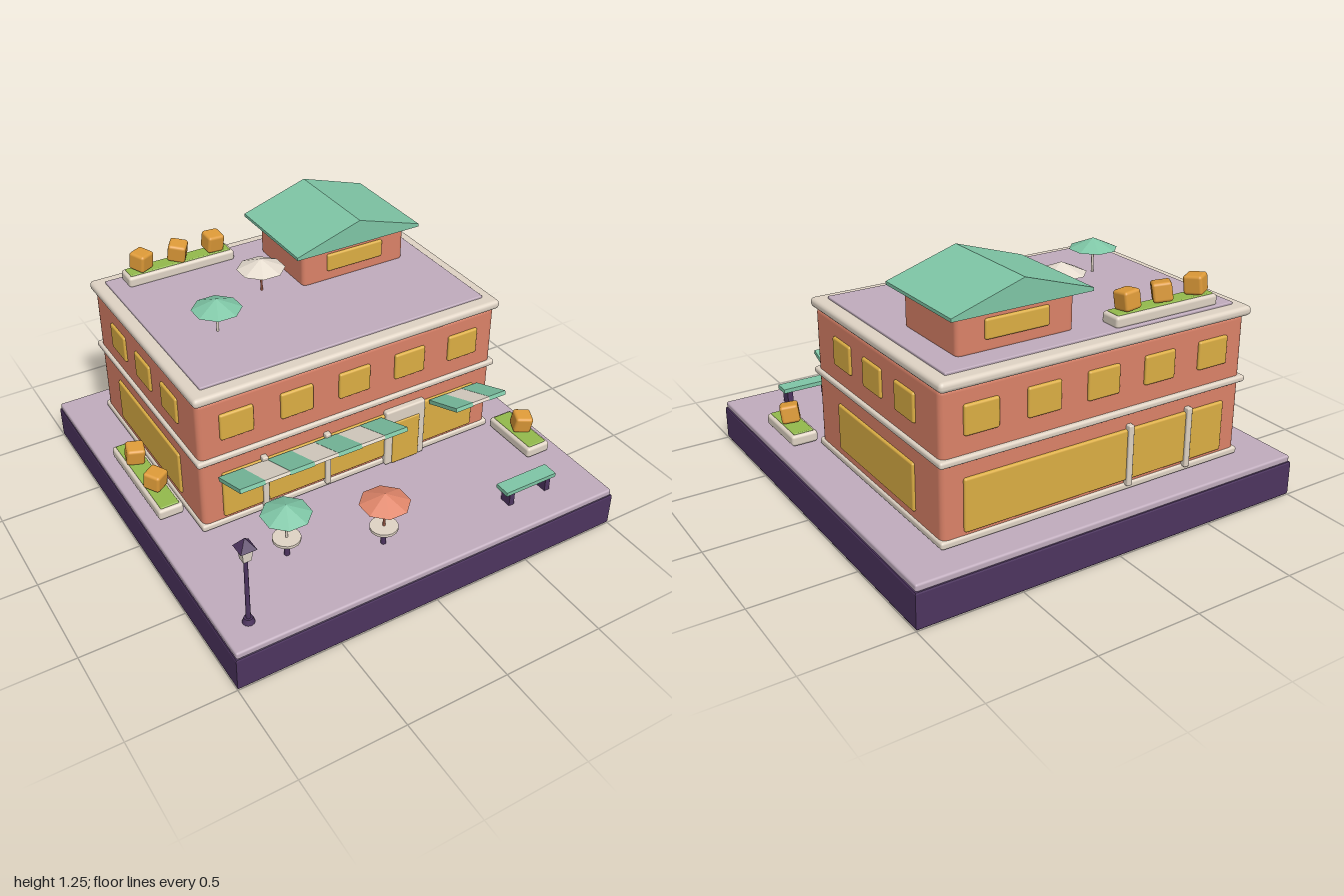
import * as THREE from 'three';
import { RoundedBoxGeometry } from 'three/addons/geometries/RoundedBoxGeometry.js';

const mat = (color, flatShading = false) => new THREE.MeshStandardMaterial({ color, flatShading });
const WALL = mat(0xdb8268), CREAM = mat(0xdfd3c4), GOLD = mat(0xdcae44), PURPLE = mat(0x4d345f);
const MAUVE = mat(0xc0acbd), GREEN = mat(0x7fc6a6, true), LEAF = mat(0x93ba4c), ORANGE = mat(0xdd9a38);
const CORAL = mat(0xe0866a, true), IVORY = mat(0xe6dccf, true), IRON = mat(0x4d345f, true);

function add(parent, name, geometry, material, x = 0, y = 0, z = 0) {
  const mesh = new THREE.Mesh(geometry, material);
  mesh.name = name;
  mesh.position.set(x, y, z);
  parent.add(mesh);
  return mesh;
}

// Box given by its min and max on each axis, with softened edges
function box(parent, name, material, [x0, x1], [y0, y1], [z0, z1], r = 0.01) {
  const w = x1 - x0, h = y1 - y0, d = z1 - z0;
  const geometry = r ? new RoundedBoxGeometry(w, h, d, 2, Math.min(r, w * 0.45, h * 0.45, d * 0.45)) : new THREE.BoxGeometry(w, h, d);
  return add(parent, name, geometry, material, (x0 + x1) / 2, (y0 + y1) / 2, (z0 + z1) / 2);
}

function group(parent, name, x = 0, y = 0, z = 0) {
  const g = new THREE.Group();
  g.name = name;
  g.position.set(x, y, z);
  parent.add(g);
  return g;
}

function square(PathType, s) {
  return new PathType([[-s, -s], [s, -s], [s, s], [-s, s]].map(([x, y]) => new THREE.Vector2(x, y)));
}

// Hollow plinth, open underneath, with a paved top
function buildBase(root) {
  const g = group(root, 'base');
  const rim = square(THREE.Shape, 0.99);
  rim.holes.push(square(THREE.Path, 0.985));
  const geometry = new THREE.ExtrudeGeometry(rim, { depth: 0.155, bevelSize: 0.01, bevelThickness: 0.01, bevelSegments: 2 });
  geometry.rotateX(-Math.PI / 2);
  add(g, 'plinthWalls', geometry, PURPLE, 0, 0.01, 0);
  box(g, 'paving', MAUVE, [-0.995, 0.995], [0.17, 0.205], [-0.995, 0.995], 0.01);
}

function buildBuilding(root) {
  const g = group(root, 'building');
  box(g, 'walls', WALL, [-0.785, 0.785], [0.2, 0.91], [-0.84, 0.28], 0.03);
  box(g, 'footTrim', CREAM, [-0.795, 0.795], [0.21, 0.245], [-0.85, 0.29], 0.012);
  box(g, 'floorTrim', CREAM, [-0.8, 0.8], [0.577, 0.608], [-0.86, 0.295], 0.012);
  box(g, 'cornice', CREAM, [-0.8, 0.8], [0.9, 0.946], [-0.87, 0.3], 0.02);
  box(g, 'roofDeck', MAUVE, [-0.74, 0.74], [0.92, 0.957], [-0.805, 0.235], 0.005);

  // Windows run on opposite walls, front with back and left with right
  for (const [z0, z1] of [[0.27, 0.294], [-0.854, -0.83]]) {
    for (let i = -2; i <= 2; i++) box(g, 'upperWindow', GOLD, [i * 0.3 - 0.082, i * 0.3 + 0.082], [0.69, 0.825], [z0, z1], 0.01);
    box(g, 'shopWindow', GOLD, [-0.685, 0.685], [0.26, 0.505], [z0, z1], 0.01);
    for (const x of [-0.475, -0.147]) box(g, 'windowPost', CREAM, [x - 0.014, x + 0.014], [0.235, 0.527], [z0 - 0.013, z1 + 0.013], 0.006);
  }
  for (const [x0, x1] of [[-0.797, -0.775], [0.775, 0.797]]) {
    for (const z of [0.003, -0.28, -0.563]) box(g, 'sideWindow', GOLD, [x0, x1], [0.69, 0.825], [z - 0.082, z + 0.082], 0.01);
    box(g, 'sideShopWindow', GOLD, [x0, x1], [0.28, 0.505], [-0.625, 0.065], 0.01);
  }

  box(g, 'doorFrame', CREAM, [0.168, 0.39], [0.215, 0.527], [0.26, 0.31], 0.01);
  box(g, 'door', GOLD, [0.204, 0.354], [0.22, 0.46], [0.28, 0.317], 0.006);
}

// Striped awning tilted upwards toward the street
function buildAwning(root, x0, x1, stripes) {
  const g = group(root, 'awning', 0, 0.54, 0.408);
  g.rotation.x = -0.37;
  const w = (x1 - x0) / stripes;
  for (let i = 0; i < stripes; i++) {
    const even = i % 2 === 0;
    box(g, 'awningStripe', even ? GREEN : IVORY, [x0 + i * w, x0 + (i + 1) * w], even ? [-0.01, 0.01] : [-0.007, 0.009], [-0.113, 0.113], 0);
  }
}

// Small pavilion with a gabled roof
function buildPavilion(root) {
  const g = group(root, 'pavilion');
  box(g, 'pavilionWalls', WALL, [0.055, 0.625], [0.94, 1.14], [-0.7, -0.27], 0.025);
  for (const z of [-0.27, -0.7]) box(g, 'pavilionWindow', GOLD, [0.185, 0.495], [1.005, 1.095], [z - 0.012, z + 0.012], 0.01);
  const gable = new THREE.Shape([[-0.34, 0], [0.34, 0], [0.34, 0.015], [0, 0.122], [-0.34, 0.015]].map(([x, y]) => new THREE.Vector2(x, y)));
  add(g, 'gableRoof', new THREE.ExtrudeGeometry(gable, { depth: 0.53, bevelEnabled: false }), GREEN, 0.34, 1.133, -0.755);
}

function buildParasol(root, x, y, z, height, color, poleColor, table) {
  const g = group(root, 'parasol', x, y, z);
  add(g, 'canopy', new THREE.ConeGeometry(0.116, 0.05, 8).rotateY(Math.PI / 8), color, 0, height - 0.025, 0);
  add(g, 'pole', new THREE.CylinderGeometry(0.006, 0.006, height - 0.03, 8), poleColor, 0, (height - 0.03) / 2, 0);
  if (!table) return;
  add(g, 'tableTop', new THREE.CylinderGeometry(0.065, 0.065, 0.014, 16), CREAM, 0, 0.1, 0);
  add(g, 'tableLeg', new THREE.CylinderGeometry(0.013, 0.013, 0.1, 10), PURPLE, 0, 0.05, 0);
}

// Trough of greenery holding tumbled cube shrubs
function buildPlanter(root, xs, y, zs, shrubs) {
  const g = group(root, 'planter');
  box(g, 'trough', CREAM, xs, [y, y + 0.055], zs, 0.015);
  box(g, 'greenery', LEAF, [xs[0] + 0.016, xs[1] - 0.016], [y + 0.03, y + 0.061], [zs[0] + 0.016, zs[1] - 0.016], 0.005);
  for (const [x, z, turn] of shrubs) {
    const shrub = add(g, 'shrub', new RoundedBoxGeometry(0.088, 0.088, 0.088, 2, 0.014), ORANGE, x, y + 0.107, z);
    shrub.rotation.set(0.12, turn, -0.08);
  }
}

function buildBench(root) {
  const g = group(root, 'bench');
  box(g, 'benchSeat', GREEN, [0.48, 0.765], [0.277, 0.298], [0.77, 0.848], 0);
  for (const x of [0.52, 0.73]) box(g, 'benchLeg', IRON, [x - 0.014, x + 0.014], [0.2, 0.28], [0.78, 0.84], 0);
}

function buildLamp(root) {
  const g = group(root, 'streetLamp', -0.868, 0.2, 0.86);
  add(g, 'lampFoot', new THREE.CylinderGeometry(0.02, 0.03, 0.03, 12), PURPLE, 0, 0.015, 0);
  add(g, 'lampPost', new THREE.CylinderGeometry(0.009, 0.011, 0.36, 10), PURPLE, 0, 0.18, 0);
  add(g, 'lantern', new THREE.CylinderGeometry(0.035, 0.026, 0.065, 4).rotateY(Math.PI / 4), IVORY, 0, 0.387, 0);
  add(g, 'lampCap', new THREE.ConeGeometry(0.052, 0.05, 4).rotateY(Math.PI / 4), IRON, 0, 0.443, 0);
}

export function createModel() {
  const root = new THREE.Group();
  root.name = 'cornerCafe';
  buildBase(root);
  buildBuilding(root);
  buildAwning(root, -0.71, 0.143, 7);
  buildAwning(root, 0.415, 0.7, 3);
  buildPavilion(root);

  buildParasol(root, -0.535, 0.2, 0.592, 0.29, GREEN, CREAM, true);
  buildParasol(root, -0.13, 0.2, 0.748, 0.29, CORAL, CORAL, true);
  buildParasol(root, -0.472, 0.95, -0.128, 0.175, GREEN, CREAM, false);
  buildParasol(root, -0.13, 0.95, -0.347, 0.175, IVORY, CORAL, false);

  buildPlanter(root, [-0.66, -0.1], 0.95, [-0.792, -0.683], [[-0.57, -0.74, 0.5], [-0.38, -0.738, -0.6], [-0.19, -0.74, 0.05]]);
  buildPlanter(root, [-0.932, -0.808], 0.213, [-0.44, 0.12], [[-0.875, -0.275, -0.25], [-0.87, -0.05, 0.6]]);
  buildPlanter(root, [0.793, 0.925], 0.213, [0.31, 0.62], [[0.865, 0.467, -0.4]]);

  buildBench(root);
  buildLamp(root);
  return root;
}
